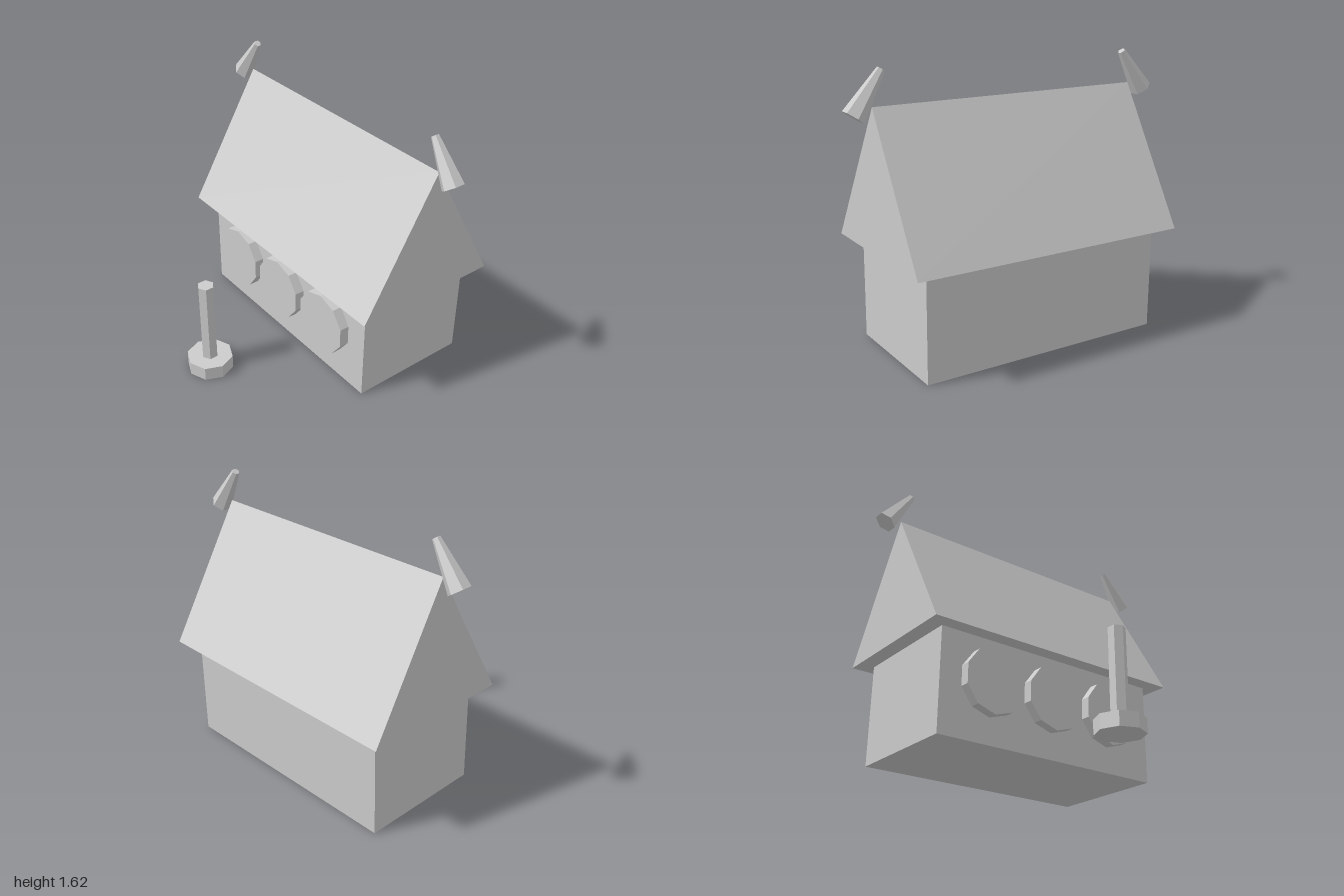
import * as THREE from 'three';

const material = new THREE.MeshStandardMaterial({ color: 0xcccccc, flatShading: true });
const HOUSE_Z = -0.31;
const WALL_HEIGHT = 0.615;

export function createModel() {
  const model = new THREE.Group();
  model.name = 'house';

  const add = (name, geometry, x, y, z) => {
    const mesh = new THREE.Mesh(geometry, material);
    mesh.name = name;
    mesh.position.set(x, y, z);
    model.add(mesh);
    return mesh;
  };

  // Walls
  add('walls', new THREE.BoxGeometry(1.504, WALL_HEIGHT, 0.756), 0, WALL_HEIGHT / 2, HOUSE_Z);

  // Gable roof: triangle extruded along x
  const gable = new THREE.Shape([
    new THREE.Vector2(-0.47, 0),
    new THREE.Vector2(0.47, 0),
    new THREE.Vector2(0, 0.801),
  ]);
  const roof = new THREE.ExtrudeGeometry(gable, { depth: 1.694, bevelEnabled: false });
  roof.translate(0, 0, -0.847).rotateY(Math.PI / 2);
  add('roof', roof, 0, WALL_HEIGHT, HOUSE_Z);

  // Horns leaning inward over the ridge ends
  for (const side of [-1, 1]) {
    const horn = add(side > 0 ? 'leftHorn' : 'rightHorn',
      new THREE.CylinderGeometry(0.023, 0.065, 0.285, 6), side * 0.871, 1.49, HOUSE_Z);
    horn.rotation.z = side * 0.6;
  }

  // Ten-sided shields on the front wall
  const shield = new THREE.CylinderGeometry(0.197, 0.197, 0.06, 10).rotateX(Math.PI / 2);
  for (const x of [-0.425, 0, 0.425]) add('shield', shield, x, 0.355, 0.098);

  // Freestanding post on a round foot
  add('postFoot', new THREE.CylinderGeometry(0.14, 0.14, 0.085, 8), 0, 0.0425, 0.64);
  add('post', new THREE.CylinderGeometry(0.05, 0.05, 0.52, 6), 0, 0.345, 0.64);

  return model;
}
